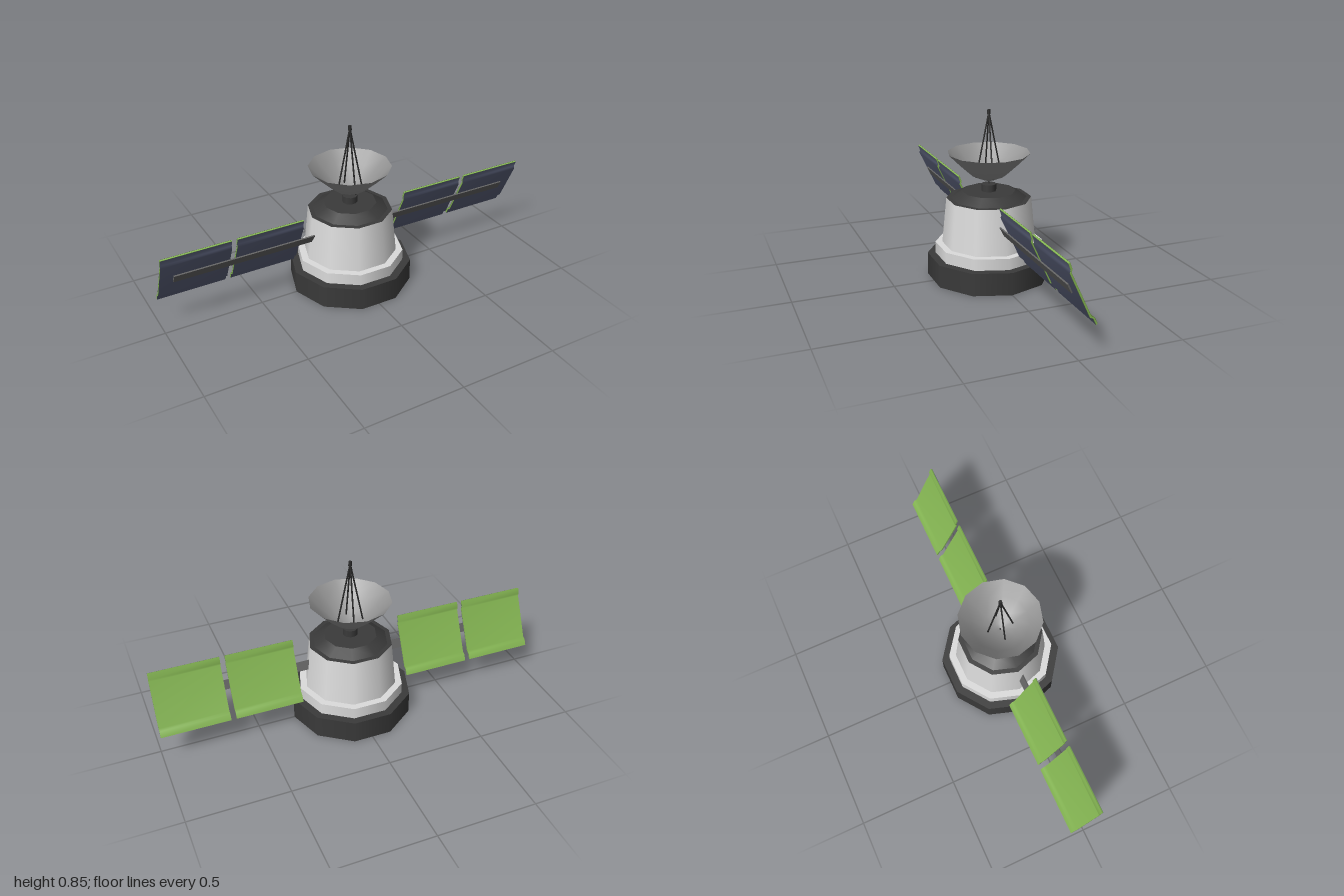
import * as THREE from 'three';
import { mergeGeometries } from 'three/addons/utils/BufferGeometryUtils.js';

const material = (name, color, side = THREE.FrontSide) => {
  const m = new THREE.MeshStandardMaterial({ color, side });
  m.name = name;
  return m;
};

export function createModel() {
  const hullGrey = material('hull light grey', 0xdcdcdc);
  const darkGrey = material('dark grey', 0x3a3a3a);
  const strutBlack = material('strut black', 0x2a2a2a);
  const dishGrey = material('dish grey', 0x959595, THREE.DoubleSide);
  const beamGrey = material('beam grey', 0x626262);
  const cellBlue = material('cell blue', 0x595f78, THREE.DoubleSide);
  const panelGreen = material('panel green', 0x84b552, THREE.DoubleSide);

  const model = new THREE.Group();
  model.name = 'satellite';
  const add = (parent, name, geometry, mat) => {
    const mesh = new THREE.Mesh(geometry, mat);
    mesh.name = name;
    parent.add(mesh);
    return mesh;
  };

  // Ten-sided turned part, with a hard edge at every profile point
  const turned = (points) => {
    const v = points.map(([r, y]) => new THREE.Vector2(r, y));
    return mergeGeometries(v.slice(1).map((p, i) =>
      new THREE.LatheGeometry([v[i], p], 10, Math.PI / 2)));
  };

  // Hull: hollow base, stepped body, cap and neck
  add(model, 'base', turned([[0, 0.09], [0.262, 0.09], [0.272, 0], [0.31, 0], [0.31, 0.115], [0.26, 0.115]]), darkGrey);
  add(model, 'body', turned([[0.27, 0.115], [0.27, 0.173], [0.235, 0.173], [0.212, 0.404]]), hullGrey);
  add(model, 'cap', turned([[0.212, 0.404], [0.189, 0.405], [0.133, 0.439], [0, 0.439]]), darkGrey);
  add(model, 'neck', turned([[0.037, 0.438], [0.037, 0.474], [0, 0.474]]), darkGrey);

  // Dish on a thin stem
  add(model, 'stem', new THREE.CylinderGeometry(0.004, 0.004, 0.03, 6).translate(0, 0.483, 0), darkGrey);
  const dishProfile = [[0, 0.488], [0.03, 0.496], [0.085, 0.52], [0.145, 0.575], [0.205, 0.635]];
  add(model, 'dish', new THREE.LatheGeometry(
    dishProfile.map(([r, y]) => new THREE.Vector2(r, y)), 12), dishGrey);

  // Four struts meeting at the feed
  const feedTop = new THREE.Vector3(0, 0.835, 0);
  for (let i = 0; i < 4; i++) {
    const a = i * Math.PI / 2 + 0.08;
    const foot = new THREE.Vector3(0.066 * Math.cos(a), 0.508, 0.066 * Math.sin(a));
    const dir = feedTop.clone().sub(foot);
    const strut = add(model, 'feedStrut', new THREE.CylinderGeometry(0.004, 0.004, dir.length(), 6), strutBlack);
    strut.position.copy(foot).addScaledVector(dir, 0.5);
    strut.quaternion.setFromUnitVectors(new THREE.Vector3(0, 1, 0), dir.normalize());
  }
  add(model, 'feed', new THREE.CylinderGeometry(0.008, 0.01, 0.022, 8).translate(0, 0.837, 0), strutBlack);

  // Panel cross-section as [z, y], top to bottom, with bent lips
  const section = [[0.056, 0.438], [0.045, 0.408], [0.049, 0.395], [-0.049, 0.186], [-0.064, 0.179], [-0.078, 0.15]];
  const normal = [0.905, -0.425]; // forward and down
  const offset = (d) => section.map(([z, y]) => [z + d * normal[0], y + d * normal[1]]);

  // Smooth sheet following the section
  const sheet = (width, d, facing) => {
    const g = new THREE.PlaneGeometry(width, 1, 1, section.length - 1);
    const p = g.attributes.position;
    const rows = offset(d);
    for (let i = 0; i < p.count; i++) {
      const [z, y] = rows[Math.floor(i / 2)];
      p.setXYZ(i, p.getX(i) * facing, y, z);
    }
    g.computeVertexNormals();
    return g;
  };
  // Solid core between the two sheets
  const core = (width) => {
    const outline = [...offset(0.0035), ...offset(-0.0035).reverse()];
    const shape = new THREE.Shape(outline.map(([z, y]) => new THREE.Vector2(-z, y)));
    return new THREE.ExtrudeGeometry(shape, { depth: width, bevelEnabled: false })
      .translate(0, 0, -width / 2).rotateY(Math.PI / 2);
  };

  // Wings: a flat beam carrying two panels on each side
  for (const side of [1, -1]) {
    const wing = new THREE.Group();
    wing.name = side > 0 ? 'leftWing' : 'rightWing';
    const beam = add(wing, 'beam', new THREE.BoxGeometry(0.76, 0.046, 0.007), beamGrey);
    beam.position.set(side * 0.555, 0.296, 0.016);
    beam.rotation.x = 0.44;
    for (const [x0, x1] of [[0.285, 0.628], [0.655, 1]]) {
      const panel = new THREE.Group();
      panel.name = 'solarPanel';
      panel.position.x = side * (x0 + x1) / 2;
      add(panel, 'panelCore', core(x1 - x0), panelGreen);
      add(panel, 'panelCells', sheet(x1 - x0, 0.005, 1), cellBlue);
      add(panel, 'panelBack', sheet(x1 - x0, -0.0045, -1), panelGreen);
      wing.add(panel);
    }
    model.add(wing);
  }
  return model;
}
